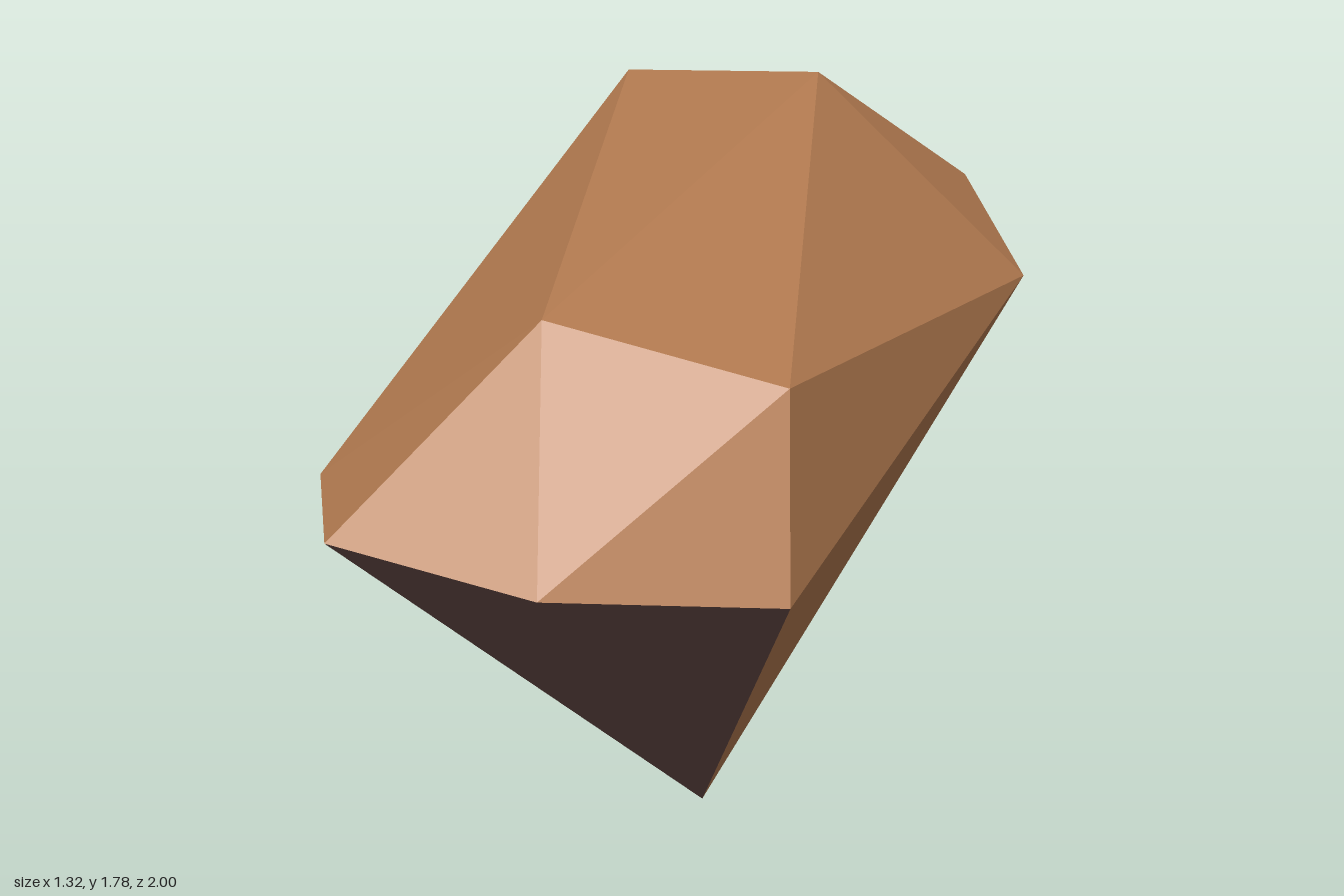
import * as THREE from 'three';

const copper = new THREE.MeshStandardMaterial({ color: 0xb57c51, flatShading: true });
copper.name = 'copper brown';
const umber = new THREE.MeshStandardMaterial({ color: 0x6a4c48, flatShading: true });
umber.name = 'dark umber';

// Corners of the stone: pointed foot, seven-sided rim, four-sided crown
const foot = [-0.02, 0, -0.17];
const rim = [
  [-0.5, 1.31, 0.95], [-0.06, 1.27, 1.0], [0.39, 1.22, 0.83], [0.66, 1.34, -0.6],
  [0.46, 1.43, -1.0], [-0.43, 1.41, -0.85], [-0.66, 1.25, 0.58],
];
const crown = [[-0.14, 1.69, 0.66], [0.35, 1.61, 0.68], [0.14, 1.78, -0.66], [-0.33, 1.74, -0.69]];

// Mesh of separate triangular facets, each turned to face away from the core
function facets(name, triangles, material) {
  const core = new THREE.Vector3(0, 1.2, 0);
  const points = [];
  for (const t of triangles) {
    const [a, b, c] = t.map((p) => new THREE.Vector3(...p));
    const normal = b.clone().sub(a).cross(c.clone().sub(a));
    const outward = normal.dot(a.clone().sub(core)) > 0;
    points.push(...(outward ? [a, b, c] : [a, c, b]));
  }
  const geometry = new THREE.BufferGeometry().setFromPoints(points);
  geometry.computeVertexNormals();
  const mesh = new THREE.Mesh(geometry, material);
  mesh.name = name;
  return mesh;
}

export function createModel() {
  const group = new THREE.Group();
  group.name = 'facetedStone';
  const [r0, r1, r2, r3, r4, r5, r6] = rim;
  const [t0, t1, t2, t3] = crown;

  group.add(facets('crownTop', [[t0, t1, t2], [t0, t2, t3]], copper));
  group.add(facets('crownSides', [
    [t0, r0, r1], [t0, r1, t1], [t1, r1, r2], // front
    [t1, r2, r3], [t1, r3, t2], // +x side
    [t2, r3, r4], [t2, r4, t3], [t3, r4, r5], // back
    [t3, r5, r6], [t3, r6, t0], [t0, r6, r0], // -x side
  ], copper));

  // Facets running from the rim down to the foot; one wide side is copper
  const lower = rim.map((p, i) => [p, rim[(i + 1) % rim.length], foot]);
  group.add(facets('copperLowerSide', [lower[2]], copper));
  group.add(facets('darkLowerSides', lower.filter((_, i) => i !== 2), umber));
  return group;
}
